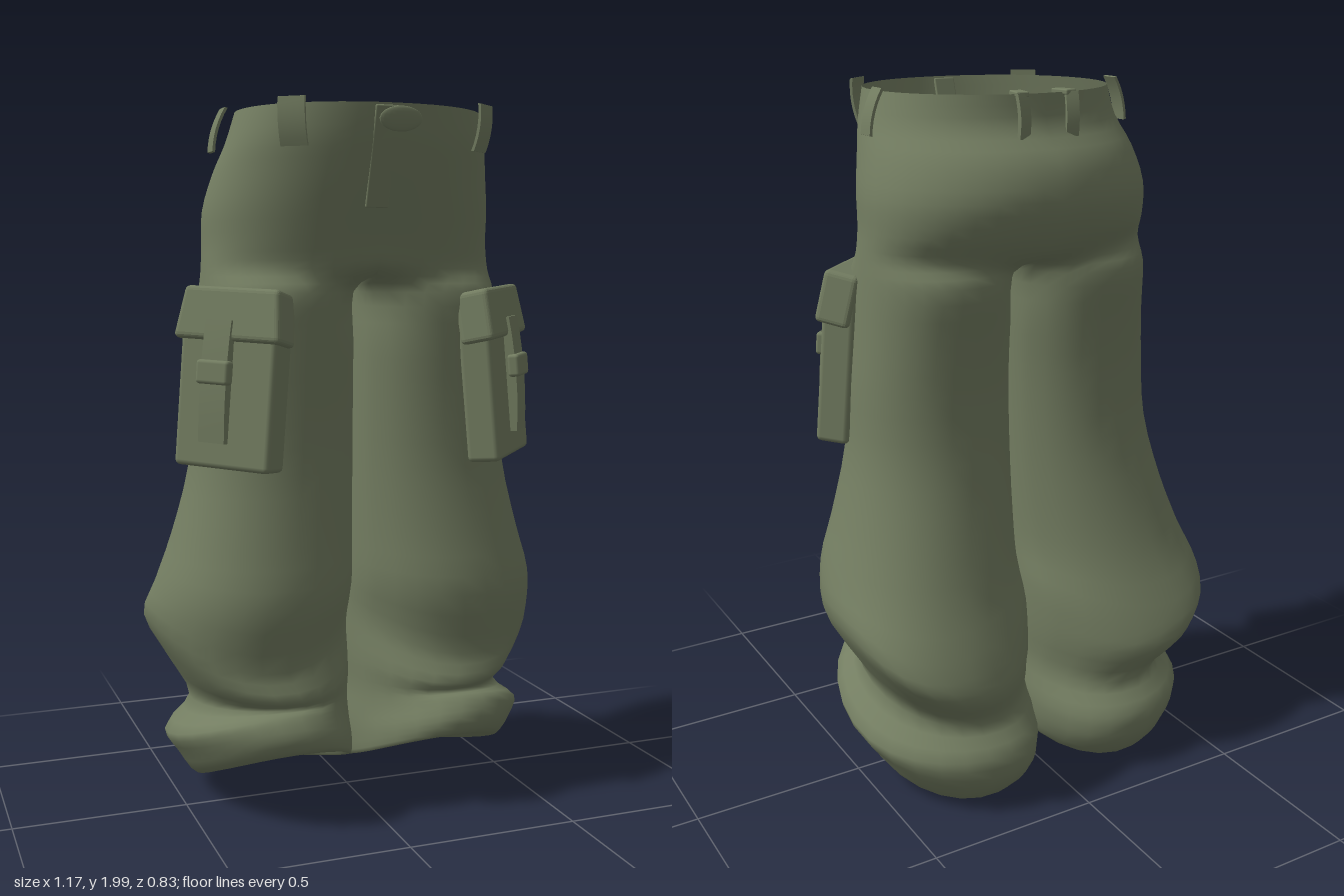
import * as THREE from 'three';
import { mergeVertices } from 'three/addons/utils/BufferGeometryUtils.js';
import { RoundedBoxGeometry } from 'three/addons/geometries/RoundedBoxGeometry.js';

const OUTER = 22, INNER = 8, RING = OUTER + INNER, SUB = 3;

// hip sections: y, half width, back z, front z, back squareness
const HIP = [
  [1.985, 0.345, -0.225, 0.39, 2],
  [1.9, 0.37, -0.235, 0.37, 2],
  [1.82, 0.395, -0.3, 0.345, 2],
  [1.72, 0.418, -0.325, 0.31, 2.05],
  [1.63, 0.422, -0.295, 0.278, 2.15],
  [1.56, 0.428, -0.24, 0.255, 2.3],
];
// leg sections: front y, back y, sag at the sides, inner x, outer x, back z, front z, outward shift of the back
const LEG = [
  [1.495, 1.495, 0, 0.003, 0.434, -0.232, 0.25, 0],
  [1.36, 1.36, 0, 0.003, 0.445, -0.215, 0.245, 0],
  [1.2, 1.2, 0, 0.003, 0.46, -0.2, 0.235, 0],
  [1.0, 1.0, 0, 0.003, 0.475, -0.21, 0.235, 0],
  [0.8, 0.8, 0, 0.003, 0.525, -0.255, 0.26, 0.01],
  [0.63, 0.62, -0.04, 0.003, 0.568, -0.315, 0.285, 0.03],
  [0.45, 0.45, -0.105, 0.003, 0.586, -0.395, 0.255, 0.06],
  [0.375, 0.375, -0.04, 0.005, 0.515, -0.408, 0.28, 0.05],
  [0.345, 0.265, 0, 0.012, 0.462, -0.35, 0.26, 0],
  [0.335, 0.185, 0.05, 0.005, 0.538, -0.41, 0.295, -0.04],
  [0.285, 0.09, 0.04, 0.008, 0.5, -0.4, 0.325, -0.03],
  [0.235, 0.005, 0.025, 0.018, 0.45, -0.31, 0.31, 0],
  [0.215, 0.05, 0.02, 0.03, 0.4, -0.265, 0.245, 0],
];

const power = (v, n) => Math.sign(v) * Math.abs(v) ** (2 / n);

// point j of a hip section; the inner points exist only on the last one (the crotch)
function hipPoint([y, rx, zb, zf, n], j) {
  const cz = (zb + zf) / 2, rz = (zf - zb) / 2;
  if (j > OUTER) {
    const k = (j - OUTER) / INNER;
    return new THREE.Vector3(0, y - 0.03 * Math.sin(Math.PI * k), cz - rz * Math.cos(Math.PI * k));
  }
  const t = Math.PI * j / OUTER, e = t > Math.PI / 2 ? n : 2.1;
  const x = j === 0 || j === OUTER ? 0 : rx * power(Math.sin(t), e);
  return new THREE.Vector3(x, y, cz + rz * power(Math.cos(t), e));
}

// point j of a leg section, a tilted rounded ring
function legPoint([yf, yb, sag, xi, xo, zb, zf, shift], j) {
  const deg = j <= OUTER ? -60 + 300 * j / OUTER : 240 + 60 * (j - OUTER) / INNER;
  const t = THREE.MathUtils.degToRad(deg);
  const s = power(Math.sin(t), 2.1), c = power(Math.cos(t), 2.1);
  return new THREE.Vector3(
    (xi + xo) / 2 + s * (xo - xi) / 2 + shift * Math.min(c, 0) ** 2,
    (yf + yb) / 2 + c * (yf - yb) / 2 - sag * (1 - c * c),
    (zb + zf) / 2 + c * (zf - zb) / 2);
}

// hips and both legs as one smooth shell, joined along x = 0
function trouserShell() {
  const crotch = (HIP.length - 1) * SUB;
  const last = crotch + LEG.length * SUB;
  const columns = [];
  for (let j = 0; j < RING; j++) {
    const inner = j > OUTER;
    const points = [
      ...(inner ? HIP.slice(-1) : HIP).map(h => hipPoint(h, j)),
      ...LEG.map(l => legPoint(l, j)),
    ];
    const first = inner ? crotch : 0;
    const fine = new THREE.CatmullRomCurve3(points).getPoints(last - first);
    fine.forEach((p, i) => {
      const row = first + i;
      const centre = row <= crotch && (inner || j === 0 || j === OUTER);
      p.x = centre ? 0 : Math.max(p.x, 0.002);
    });
    columns.push({ first, fine });
  }
  const at = (r, j) => {
    const col = columns[j % RING];
    return col.fine[r - col.first];
  };
  const pos = [];
  for (const side of [1, -1]) {
    const tri = (a, b, c) => {
      for (const p of side > 0 ? [a, b, c] : [a, c, b]) pos.push(p.x * side, p.y, p.z);
    };
    for (let r = 0; r < last; r++) {
      const count = r < crotch ? OUTER : RING;
      for (let j = 0; j < count; j++) {
        const a = at(r, j), b = at(r, j + 1), c = at(r + 1, j), d = at(r + 1, j + 1);
        tri(a, c, d);
        tri(a, d, b);
      }
    }
  }
  const geo = new THREE.BufferGeometry();
  geo.setAttribute('position', new THREE.Float32BufferAttribute(pos, 3));
  const merged = mergeVertices(geo, 1e-4);
  merged.computeVertexNormals();
  return merged;
}

export function createModel() {
  const model = new THREE.Group();
  model.name = 'cargoTrousers';
  const cloth = new THREE.MeshStandardMaterial({ color: 0x737d61, side: THREE.DoubleSide });

  const add = (parent, name, geo, x, y, z, rx = 0, ry = 0, rz = 0) => {
    const mesh = new THREE.Mesh(geo, cloth);
    mesh.name = name;
    mesh.position.set(x, y, z);
    mesh.rotation.set(rx, ry, rz, 'YXZ');
    parent.add(mesh);
    return mesh;
  };
  const slab = (w, h, d, r = 0.01) => new RoundedBoxGeometry(w, h, d, 2, r);

  // slab whose width changes towards the top
  const taperedSlab = (w, h, d, r, top) => {
    const geo = slab(w, h, d, r);
    const p = geo.attributes.position;
    for (let i = 0; i < p.count; i++) p.setX(i, p.getX(i) * (1 + (top - 1) * (p.getY(i) / h + 0.5)));
    geo.computeVertexNormals();
    return geo;
  };

  // bowed strip of cloth, curving along its height
  const strip = (w, h, d, bow) => {
    const geo = new THREE.BoxGeometry(w, h, d, 1, 6, 1);
    const p = geo.attributes.position;
    for (let i = 0; i < p.count; i++) p.setZ(i, p.getZ(i) + bow * (1 - (2 * p.getY(i) / h) ** 2));
    geo.computeVertexNormals();
    return geo;
  };

  add(model, 'hipsAndLegs', trouserShell(), 0, 0, 0);

  // fly and waist button
  add(model, 'fly', slab(0.065, 0.27, 0.01, 0.004), -0.03, 1.85, 0.348, 0.29);
  const button = add(model, 'waistButton', new THREE.SphereGeometry(0.06, 20, 10), 0, 1.943, 0.405, 0.25);
  button.scale.set(1, 0.55, 0.13);

  for (const side of [1, -1]) {
    const label = side > 0 ? 'left' : 'right';

    // belt loops
    add(model, label + 'FrontBeltLoop', strip(0.075, 0.125, 0.008, 0.008), side * 0.268, 1.935, 0.328, 0.15, side * 0.69);
    add(model, label + 'SideBeltLoop', strip(0.055, 0.125, 0.008, 0.008), side * 0.383, 1.937, 0.01, -0.3, side * Math.PI / 2);
    add(model, label + 'BackBeltLoop', strip(0.035, 0.115, 0.012, 0.008), side * 0.075, 1.93, -0.234, -0.08, Math.PI + side * 0.2);
    add(model, label + 'BackBeltLoopTop', slab(0.035, 0.014, 0.06, 0.004), side * 0.068, 1.985, -0.205, 0, side * -0.2);

    // cargo pocket with flap, strap and buckle
    const pocket = new THREE.Group();
    pocket.name = label + 'CargoPocket';
    pocket.position.set(side * 0.389, 1.265, 0.172);
    pocket.rotation.set(-0.08, side * 0.8, side * 0.04, 'YXZ');
    model.add(pocket);
    add(pocket, 'pocketBag', slab(0.295, 0.47, 0.095, 0.015), 0, -0.01, 0);
    add(pocket, 'pocketFlap', taperedSlab(0.33, 0.145, 0.1, 0.015, 0.88), 0, 0.168, 0.006, -0.12);
    add(pocket, 'pocketStrap', strip(0.08, 0.33, 0.03, 0.01), side * 0.02, -0.01, 0.052);
    add(pocket, 'strapBuckle', slab(0.1, 0.065, 0.035, 0.01), side * 0.02, 0.015, 0.072);
  }
  return model;
}
